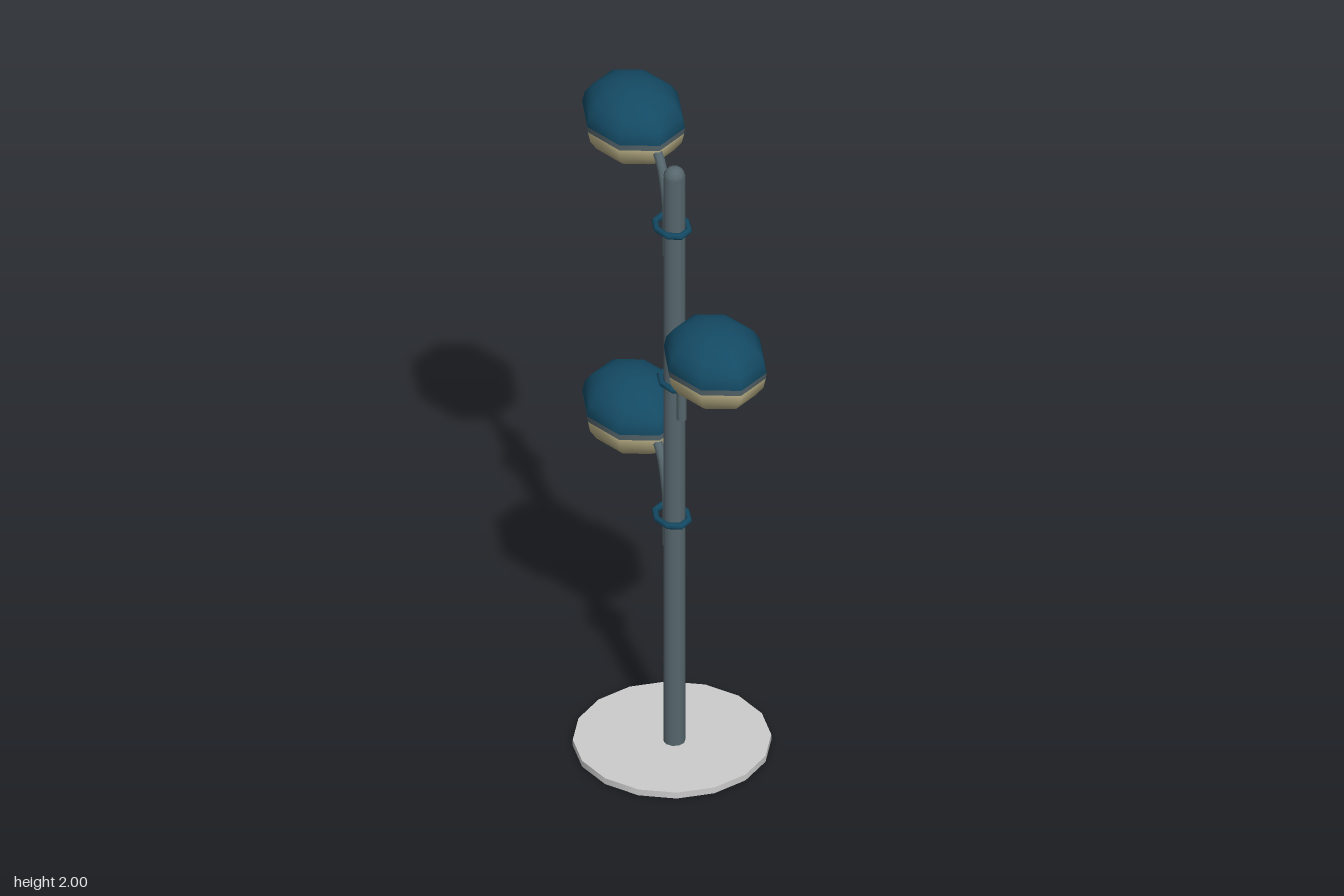
import * as THREE from 'three';

const mat = (color) => new THREE.MeshStandardMaterial({ color });
const blue = mat(0x144a64);
const steel = mat(0x56676d);
const cream = mat(0xb9af86);
const grey = mat(0xcccccc);

function add(parent, name, geometry, material) {
  const mesh = new THREE.Mesh(geometry, material);
  mesh.name = name;
  parent.add(mesh);
  return mesh;
}

// One lamp with its arm and clamp ring, reaching towards +z; y = 0 is the lamp's middle
function createLamp() {
  const lamp = new THREE.Group();
  lamp.name = 'lamp';

  // Oval head: blue shell, steel rim, cream diffuser
  const head = new THREE.Group();
  head.name = 'lampHead';
  head.position.z = 0.257;
  head.scale.set(0.138, 1, 0.166);
  lamp.add(head);

  const half = Math.PI / 2;
  const shell = new THREE.SphereGeometry(1, 8, 5, 0, Math.PI * 2, 0, half);
  add(head, 'shell', shell.scale(1, 0.107, 1), blue).position.y = 0.008;
  add(head, 'rim', new THREE.CylinderGeometry(1, 0.985, 0.018, 8, 1, true), steel).position.y = -0.001;
  const diffuser = new THREE.SphereGeometry(0.985, 8, 5, 0, Math.PI * 2, half, half);
  add(head, 'diffuser', diffuser.scale(1, 0.106, 1), cream).position.y = -0.01;

  // Bent arm, straight along the pole and curving out into the head
  const path = new THREE.CatmullRomCurve3([
    [-0.315, 0.045], [-0.24, 0.045], [-0.165, 0.047], [-0.1, 0.062],
    [-0.052, 0.08], [-0.022, 0.107], [-0.012, 0.16],
  ].map(([y, z]) => new THREE.Vector3(0, y, z)));
  add(lamp, 'arm', new THREE.TubeGeometry(path, 14, 0.014, 8), steel);
  const cap = add(lamp, 'armCap', new THREE.CircleGeometry(0.014, 8), steel);
  cap.position.set(0, -0.315, 0.045);
  cap.rotation.x = half;

  // Oval clamp ring around pole and arm
  const ring = new THREE.TorusGeometry(0.044, 0.009, 6, 8).rotateX(half).scale(1, 1, 1.3);
  add(lamp, 'clampRing', ring, blue).position.set(0, -0.205, 0.016);
  return lamp;
}

export function createModel() {
  const model = new THREE.Group();
  model.name = 'floorLamp';

  // Round foot plate
  const foot = new THREE.CylinderGeometry(0.267, 0.267, 0.019, 16).rotateY(Math.PI / 2);
  add(model, 'base', foot, grey).position.set(0, 0.0115, -0.015);

  // Pole with a rounded tip
  add(model, 'pole', new THREE.CylinderGeometry(0.03, 0.03, 1.85, 10), steel).position.y = 0.925;
  const tip = new THREE.SphereGeometry(0.03, 10, 4, 0, Math.PI * 2, 0, Math.PI / 2);
  add(model, 'poleTip', tip, steel).position.y = 1.85;

  // Three lamps on alternating sides
  [[1.885, true], [1.405, false], [0.945, true]].forEach(([y, back]) => {
    const lamp = createLamp();
    lamp.position.y = y;
    if (back) lamp.rotation.y = Math.PI;
    model.add(lamp);
  });
  return model;
}
